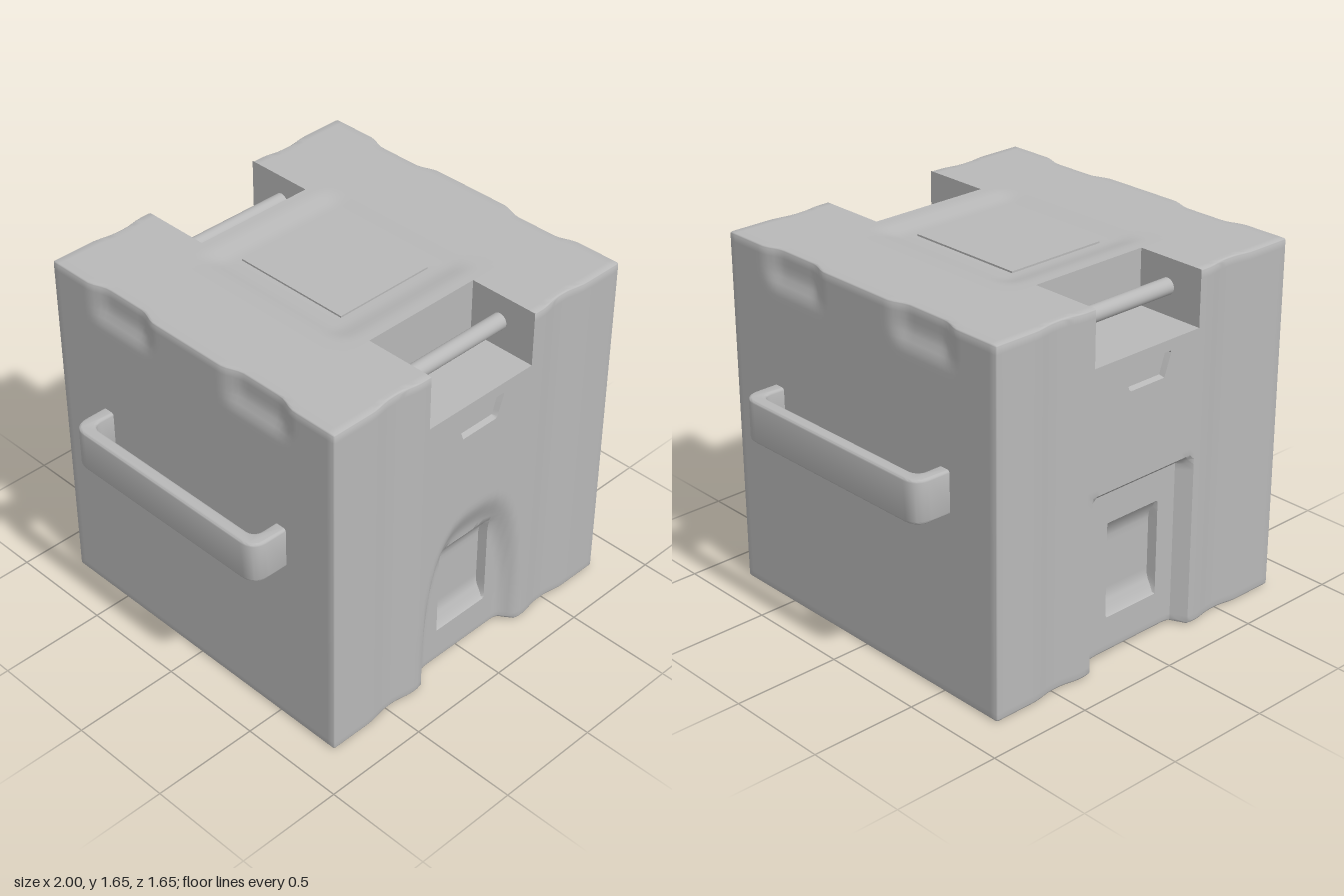
import * as THREE from 'three';
import { toCreasedNormals } from 'three/addons/utils/BufferGeometryUtils.js';

const W = 0.825, TOP = 1.655, R = 0.012;
const NOTCH = { x: 0.3, y: 1.4, z: 0.49 };
const clamp01 = (t) => Math.min(1, Math.max(0, t));
const ramp = (a, b, v) => { const t = clamp01((v - a) / (b - a)); return t * t * (3 - 2 * t); };

// Subdivide the spans between feature lines
function lines(stops, step = 0.028) {
  const out = [stops[0]];
  for (let i = 1; i < stops.length; i++) {
    const a = stops[i - 1], b = stops[i], n = Math.ceil((b - a) / step - 1e-6);
    for (let k = 1; k <= n; k++) out.push(a + (b - a) * k / n);
  }
  return out;
}
const mirrored = (s) => [...s.slice().reverse().map((v) => -v), ...s];
const GRID = [
  lines(mirrored([0.112, 0.12, 0.142, 0.15, 0.25, 0.3, 0.6, W - R, W - R / 2, W])),
  lines([0, R / 2, R, 0.19, 0.198, 0.632, 0.64, 0.78, 0.83, 1.24, 1.248, 1.342, 1.35, 1.4,
    TOP - R, TOP - R / 2, TOP]),
  lines(mirrored([0.2, 0.3, 0.49, 0.6, W - R, W - R / 2, W])),
];

// Depth of the moulded shapes on the front and back walls
function wallDepth(x, y, front) {
  const ax = Math.abs(x);
  // soft vertical grooves
  let d = 0.016 * ramp(0.35, 0.46, ax) * (1 - ramp(0.5, 0.62, ax));
  // arch at the front, rectangular bay at the back
  if (front) {
    const r = Math.pow(Math.pow(ax / 0.31, 2.8) + Math.pow(y / 0.85, 2.8), 1 / 2.8);
    d += 0.06 * (1 - ramp(0.76, 1, r));
  } else {
    d += 0.06 * (1 - ramp(0.25, 0.3, ax)) * (1 - ramp(0.78, 0.83, y));
  }
  // rectangular pocket with scooped ends
  if (ax < 0.143 && y > 0.197 && y < 0.633) {
    d += 0.008 + 0.035 * ramp(0.19, 0.28, y) * (1 - ramp(0.56, 0.64, y));
  }
  // small finger pocket below the latch
  if (ax < 0.113 && y > 1.247 && y < 1.343) d += 0.025;
  return d;
}

// Depth of the shallow hollows at the top of the sides
function sideDepth(y, z) {
  const az = Math.abs(z);
  return 0.03 * ramp(1.47, 1.56, y) * ramp(0.19, 0.3, az) * (1 - ramp(0.5, 0.61, az));
}

// Turn a point on the plain box into a point on the moulded body
function mould([x, y, z]) {
  const ax = Math.abs(x), az = Math.abs(z);
  const core = [
    THREE.MathUtils.clamp(x, -W + R, W - R),
    THREE.MathUtils.clamp(y, R, TOP - R),
    THREE.MathUtils.clamp(z, -W + R, W - R),
  ];
  const dir = new THREE.Vector3(x - core[0], y - core[1], z - core[2]).setLength(R);
  const p = new THREE.Vector3(...core).add(dir);
  p.z -= Math.sign(z) * wallDepth(x, y, z > 0) * clamp01((az - 0.55) / (W - R - 0.55));
  p.x -= Math.sign(x) * sideDepth(y, z) * clamp01((ax - 0.65) / (W - R - 0.65));
  // raised strip underneath and hollow on the lid
  p.y += 0.022 * (1 - ramp(0.2, 0.34, ax)) * clamp01((0.15 - y) / (0.15 - R));
  if (y > 1.6) p.y -= 0.02 * (1 - ramp(0.3, 0.42, ax)) * (1 - ramp(0.32, 0.45, az));
  // taper the finger pocket
  if (az > W - R && y > 1.2 && y < 1.39) {
    const bump = clamp01(1 - Math.abs(ax - 0.12) / 0.12);
    p.x += Math.sign(x) * bump * 0.04 * (clamp01((y - 1.24) / 0.11) - 0.5);
  }
  return p;
}

function bodyGeometry() {
  const pos = [], index = [];
  for (let k = 0; k < 3; k++) {
    const a = (k + 1) % 3, b = (k + 2) % 3, A = GRID[a], B = GRID[b];
    for (const side of [0, 1]) {
      const fixed = side ? GRID[k][GRID[k].length - 1] : GRID[k][0];
      const at = (u, v) => { const p = []; p[k] = fixed; p[a] = u; p[b] = v; return p; };
      const base = pos.length / 3;
      for (const u of A) for (const v of B) pos.push(...mould(at(u, v)).toArray());
      for (let i = 0; i < A.length - 1; i++) {
        for (let j = 0; j < B.length - 1; j++) {
          const c = at((A[i] + A[i + 1]) / 2, (B[j] + B[j + 1]) / 2);
          if (Math.abs(c[0]) < NOTCH.x && c[1] > NOTCH.y && Math.abs(c[2]) > NOTCH.z) continue;
          const p = base + i * B.length + j, q = p + B.length;
          if (side) index.push(p, q, q + 1, p, q + 1, p + 1);
          else index.push(p, q + 1, q, p, p + 1, q + 1);
        }
      }
    }
  }
  const g = new THREE.BufferGeometry();
  g.setAttribute('position', new THREE.Float32BufferAttribute(pos, 3));
  g.setIndex(index);
  return toCreasedNormals(g, 0.7);
}

function handleGeometry() {
  const s = new THREE.Shape();
  s.moveTo(0.81, -0.555);
  s.lineTo(0.92, -0.555);
  s.quadraticCurveTo(1, -0.555, 1, -0.475);
  s.lineTo(1, 0.475);
  s.quadraticCurveTo(1, 0.555, 0.92, 0.555);
  s.lineTo(0.81, 0.555);
  s.lineTo(0.81, 0.495);
  s.lineTo(0.89, 0.495);
  s.quadraticCurveTo(0.94, 0.495, 0.94, 0.445);
  s.lineTo(0.94, -0.445);
  s.quadraticCurveTo(0.94, -0.495, 0.89, -0.495);
  s.lineTo(0.81, -0.495);
  s.closePath();
  const bevel = 0.012;
  const g = new THREE.ExtrudeGeometry(s, {
    depth: 0.195 - 2 * bevel, bevelThickness: bevel, bevelSize: bevel, bevelOffset: -bevel,
    bevelSegments: 3, curveSegments: 10,
  });
  g.rotateX(Math.PI / 2).translate(0, 1.04 - bevel, 0);
  return toCreasedNormals(g, 0.6);
}

export function createModel() {
  const grey = new THREE.MeshStandardMaterial({ color: 0xb8b8b8 });
  grey.name = 'grey plastic';
  const model = new THREE.Group();
  model.name = 'storageBox';
  const add = (parent, name, geometry, x = 0, y = 0, z = 0) => {
    const m = new THREE.Mesh(geometry, grey);
    m.name = name;
    m.position.set(x, y, z);
    parent.add(m);
    return m;
  };

  add(model, 'body', bodyGeometry());
  add(model, 'lidPlate', new THREE.BoxGeometry(0.5, 0.009, 0.58), 0, TOP - 0.0165, -0.008);

  // Latch notches with their bars, front and back
  const depth = W - NOTCH.z, height = TOP - NOTCH.y, midY = NOTCH.y + height / 2, midZ = NOTCH.z + depth / 2;
  for (const end of ['front', 'back']) {
    const latch = new THREE.Group();
    latch.name = end + 'Latch';
    if (end === 'back') latch.rotation.y = Math.PI;
    add(latch, 'notchFloor', new THREE.PlaneGeometry(2 * NOTCH.x, depth).rotateX(-Math.PI / 2), 0, NOTCH.y, midZ);
    add(latch, 'notchWall', new THREE.PlaneGeometry(2 * NOTCH.x, height), 0, midY, NOTCH.z);
    for (const s of [-1, 1]) {
      add(latch, 'notchSide', new THREE.PlaneGeometry(depth, height).rotateY(-s * Math.PI / 2), s * NOTCH.x, midY, midZ);
    }
    add(latch, 'latchBar', new THREE.CylinderGeometry(0.037, 0.037, 2 * NOTCH.x, 32).rotateZ(Math.PI / 2), 0, 1.53, 0.642);
    model.add(latch);
  }

  // Carrying handles
  add(model, 'leftHandle', handleGeometry());
  add(model, 'rightHandle', handleGeometry()).rotation.y = Math.PI;
  return model;
}
